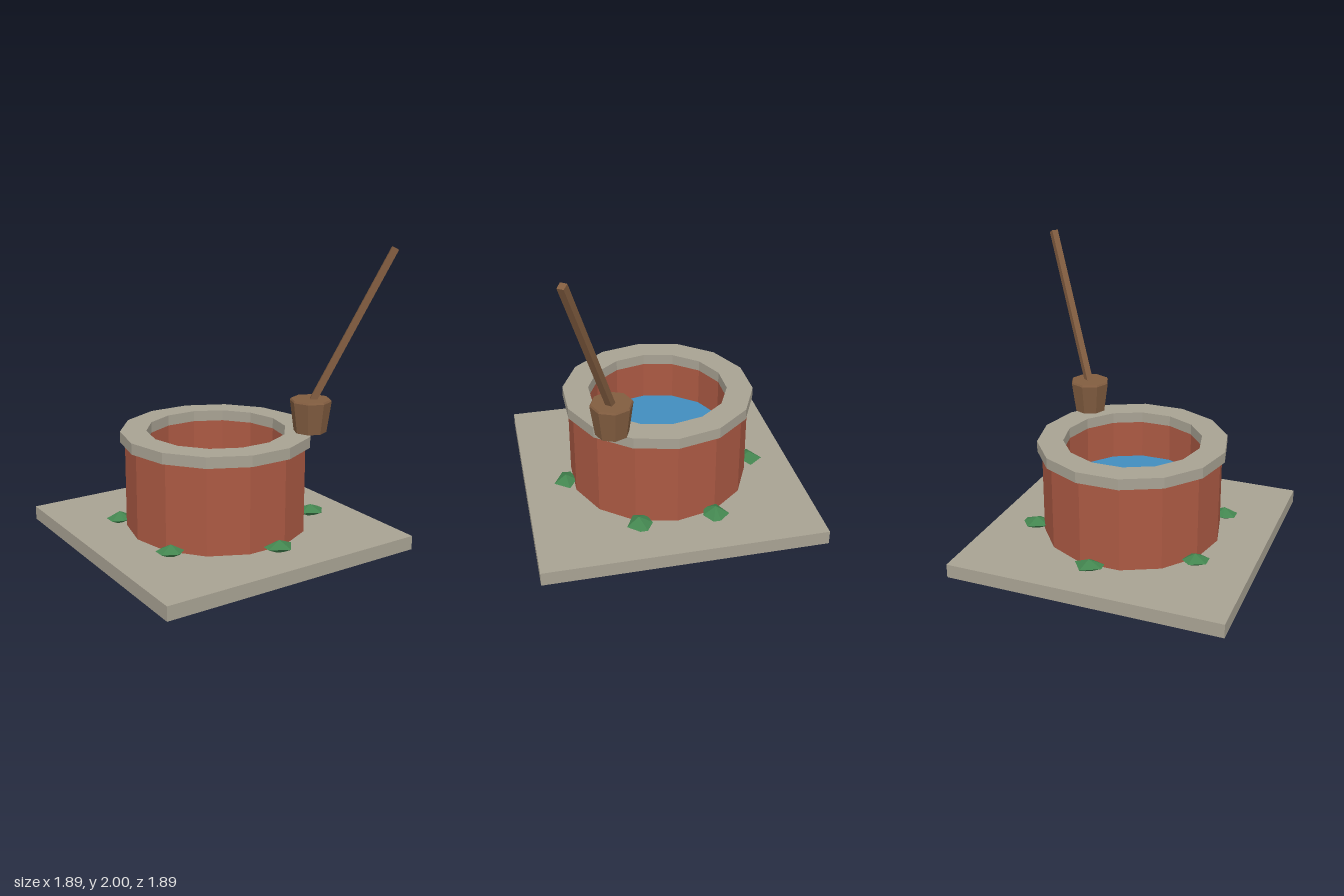
import * as THREE from 'three';
import { ConvexGeometry } from 'three/addons/geometries/ConvexGeometry.js';

const SIDES = 14;

function material(name, color) {
  const m = new THREE.MeshStandardMaterial({ color, flatShading: true });
  m.name = name;
  return m;
}

// Faceted ring standing between two heights
function ringGeometry(outer, inner, y0, y1) {
  const points = (r) => Array.from({ length: SIDES }, (_, i) => {
    const a = (i / SIDES) * Math.PI * 2;
    return new THREE.Vector2(r * Math.cos(a), r * Math.sin(a));
  });
  const shape = new THREE.Shape(points(outer));
  shape.holes.push(new THREE.Path(points(inner)));
  return new THREE.ExtrudeGeometry(shape, { depth: y1 - y0, bevelEnabled: false })
    .rotateX(-Math.PI / 2)
    .translate(0, y0, 0);
}

// Squat faceted clump: an outline at mid height with a peak above and below
function tuftGeometry([px, pz], outline, side) {
  const points = outline.map(([x, z]) => new THREE.Vector3(x, 0.127, z * side));
  points.push(new THREE.Vector3(px, 0.172, pz * side), new THREE.Vector3(px, 0.08, pz * side));
  return new ConvexGeometry(points);
}

export function createModel() {
  const model = new THREE.Group();
  model.name = 'well';
  const stone = material('stone', 0xa8a293);
  const brick = material('brick', 0xab5943);
  const water = material('water', 0x428dbe);
  const wood = material('wood', 0x825d40);
  const leaf = material('leaf', 0x43854f);

  const add = (name, geometry, mat) => {
    const mesh = new THREE.Mesh(geometry, mat);
    mesh.name = name;
    model.add(mesh);
    return mesh;
  };

  // Slab, wall, rim and water
  add('baseSlab', new THREE.BoxGeometry(1.89, 0.095, 1.89).translate(0, 0.0475, 0), stone);
  add('wall', ringGeometry(0.62, 0.476, 0.095, 0.688), brick);
  add('rim', ringGeometry(0.652, 0.475, 0.688, 0.763), stone);
  add('waterSurface', new THREE.CylinderGeometry(0.475, 0.475, 0.04, SIDES)
    .rotateY(Math.PI / 2).translate(0, 0.4, 0), water);

  // Bucket resting on the rim, with a slight chamfer at the top
  const bucket = new THREE.CylinderGeometry(0.14, 0.11, 0.212, 8).translate(0, 0.869, 0);
  const lip = new THREE.CylinderGeometry(0.133, 0.14, 0.012, 8).translate(0, 0.981, 0);
  add('bucket', bucket, wood).position.set(0.49, 0, 0.4);
  add('bucketTop', lip, wood).position.set(0.49, 0, 0.4);

  // Square pole leaning outwards
  const foot = new THREE.Vector3(0.472, 0.9, 0.384);
  const tip = new THREE.Vector3(0.897, 1.987, 0.714);
  const d = tip.clone().sub(foot);
  const pole = add('pole', new THREE.BoxGeometry(0.045, d.length(), 0.045), wood);
  pole.position.copy(foot).add(tip).multiplyScalar(0.5);
  pole.rotation.order = 'YXZ';
  pole.rotation.set(Math.atan2(Math.hypot(d.x, d.z), d.y), Math.atan2(d.x, d.z), 0);

  // Plants around the foot of the wall, mirrored front to back
  const tufts = [
    { name: 'middleTuft', peak: [0.05, 0.665],
      outline: [[-0.045, 0.68], [0.08, 0.75], [0.155, 0.65], [0.06, 0.59], [-0.04, 0.62]] },
    { name: 'leftTuft', peak: [0.62, 0.26],
      outline: [[0.64, 0.17], [0.72, 0.22], [0.72, 0.27], [0.655, 0.345], [0.53, 0.28], [0.55, 0.2]] },
    { name: 'rightTuft', peak: [-0.57, 0.35],
      outline: [[-0.655, 0.3], [-0.655, 0.38], [-0.55, 0.43], [-0.49, 0.38], [-0.52, 0.28], [-0.58, 0.27]] },
  ];
  for (const { name, peak, outline } of tufts) {
    add(name + 'Front', tuftGeometry(peak, outline, 1), leaf);
    add(name + 'Back', tuftGeometry(peak, outline, -1), leaf);
  }
  return model;
}
